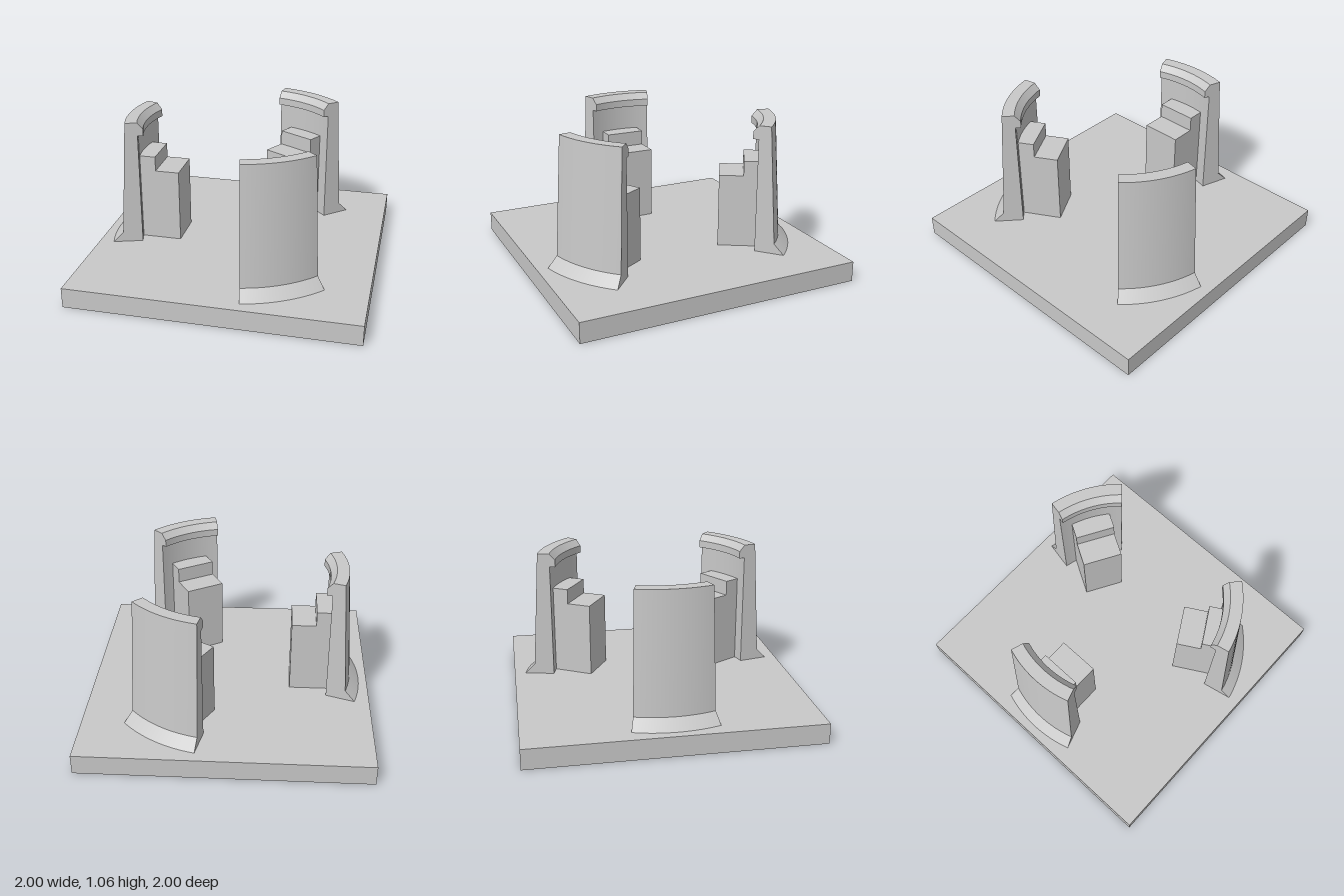
import * as THREE from 'three';
import { toCreasedNormals } from 'three/addons/utils/BufferGeometryUtils.js';

const BASE_TOP = 0.143;
const HALF_ANGLE = THREE.MathUtils.degToRad(18.2);

// Extrude a closed (radius, height) profile, then bend it round the y axis.
function bentSector(profile, halfAngle) {
  const shape = new THREE.Shape(profile.map(([r, y]) => new THREE.Vector2(r, y)));
  const geometry = new THREE.ExtrudeGeometry(shape, { depth: 1, steps: 16, bevelEnabled: false });
  const p = geometry.attributes.position;
  for (let i = 0; i < p.count; i++) {
    const r = p.getX(i);
    const a = (p.getZ(i) * 2 - 1) * halfAngle;
    p.setXYZ(i, r * Math.cos(a), p.getY(i), r * Math.sin(a));
  }
  return toCreasedNormals(geometry, 0.4);
}

export function createModel() {
  const grey = new THREE.MeshStandardMaterial({ name: 'grey', color: 0xc8c8c8 });
  const model = new THREE.Group();
  model.name = 'clipHolder';

  const add = (parent, name, geometry, x = 0, y = 0) => {
    const mesh = new THREE.Mesh(geometry, grey);
    mesh.name = name;
    mesh.position.set(x, y, 0);
    parent.add(mesh);
  };

  // Square base plate
  add(model, 'basePlate', new THREE.BoxGeometry(2, BASE_TOP, 2), 0, BASE_TOP / 2);

  // Clip wall: flared foot, drafted outside, chamfered hook inside the top
  const wall = bentSector([
    [0.73, BASE_TOP], [0.942, BASE_TOP], [0.87, 0.217], [0.815, 1.057],
    [0.73, 1.057], [0.69, 1.012], [0.69, 0.96], [0.73, 0.96],
  ], HALF_ANGLE);

  // Stepped support block, its back edge sunk into the wall
  const step = new THREE.Shape([
    [0.432, BASE_TOP], [0.74, BASE_TOP], [0.74, 0.777],
    [0.603, 0.777], [0.603, 0.67], [0.432, 0.67],
  ].map(([x, y]) => new THREE.Vector2(x, y)));
  const block = new THREE.ExtrudeGeometry(step, { depth: 0.284, bevelEnabled: false });
  block.translate(0, 0, -0.142);

  // Three clips, evenly spaced
  for (const degrees of [60, 180, 300]) {
    const clip = new THREE.Group();
    clip.name = 'clip';
    add(clip, 'clipWall', wall);
    add(clip, 'supportBlock', block);
    clip.rotation.y = THREE.MathUtils.degToRad(degrees);
    model.add(clip);
  }
  return model;
}
